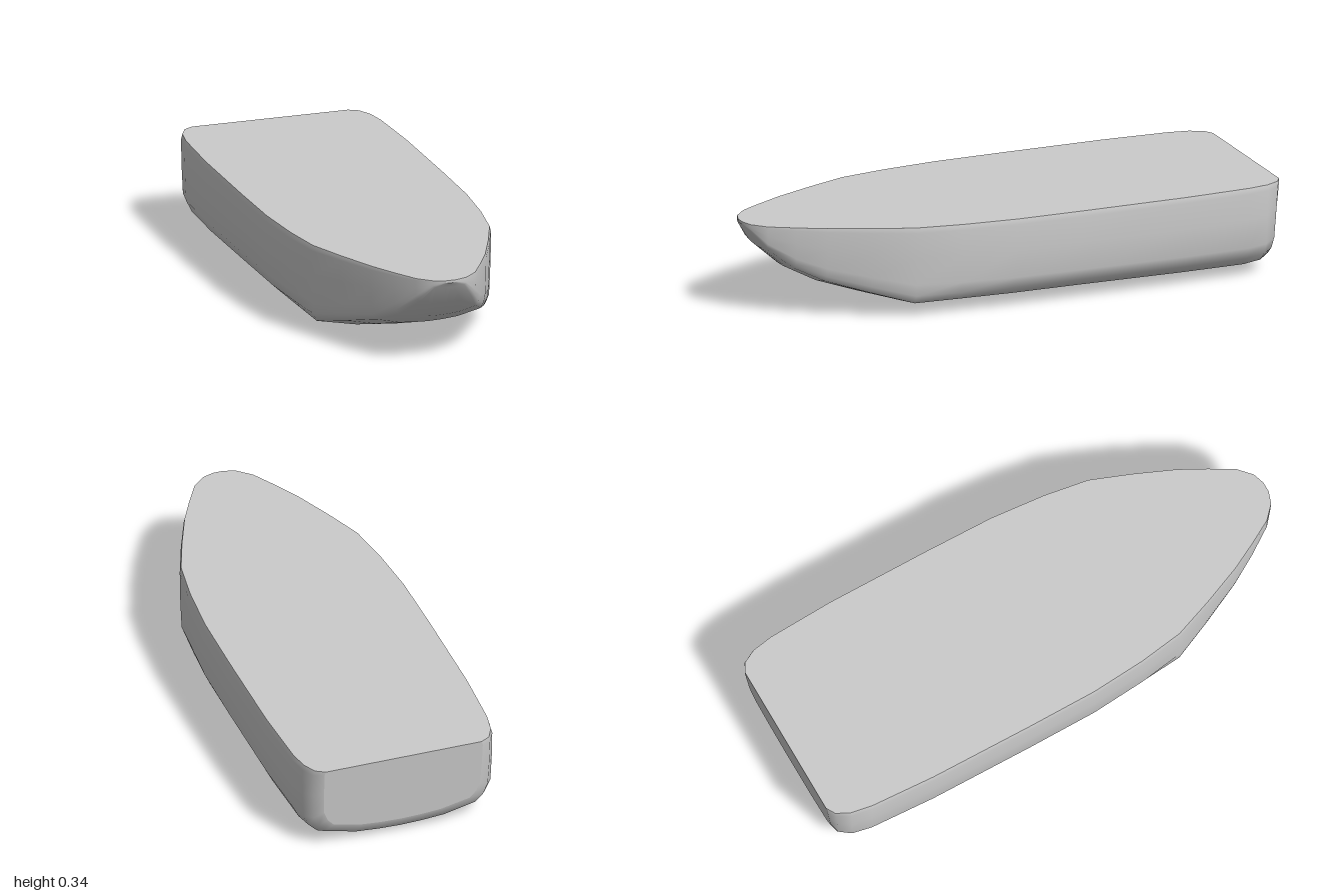
import * as THREE from 'three';

const DECK_Y = 0.345;

// Stations from bow to stern: z, half width, keel height, chine fullness, transom rake
const STATIONS = [
  [1.0, 0.02, 0.335, 0.84, 0],
  [0.985, 0.065, 0.315, 0.85, 0],
  [0.94, 0.115, 0.245, 0.86, 0],
  [0.85, 0.168, 0.165, 0.88, 0],
  [0.75, 0.222, 0.112, 0.9, 0],
  [0.6, 0.287, 0.062, 0.92, 0],
  [0.45, 0.345, 0.015, 0.94, 0],
  [0.28, 0.372, 0.012, 0.88, 0],
  [0.07, 0.39, 0.009, 0.85, 0],
  [-0.2, 0.393, 0.007, 0.84, 0],
  [-0.6, 0.392, 0.003, 0.84, 0],
  [-0.85, 0.38, 0, 0.84, 0],
  [-0.93, 0.366, 0.006, 0.84, 0.008],
  [-0.98, 0.34, 0.025, 0.85, 0.02],
  [-1.0, 0.305, 0.06, 0.86, 0.028],
];

// One hull cross-section, from the left deck edge under the keel to the right
function section([z, w, keel, chine, rake]) {
  const half = [
    [0.985, 1], [1, 0.94], [0.997, 0.65], [0.985, 0.34],
    [(chine + 0.985) / 2 + 0.015, 0.21], [chine, 0.12], [0.5, 0.03], [0.25, 0.008],
  ];
  const place = ([x, t]) =>
    new THREE.Vector3(x * w, keel + t * (DECK_Y - keel), z + rake * (1 - t));
  const mirrored = half.map(([x, t]) => [-x, t]).reverse();
  return [...half, [0, 0], ...mirrored].map(place);
}

function createHull(rings, material) {
  const n = rings[0].length;
  const index = [];
  for (let j = 0; j < rings.length - 1; j++) {
    for (let i = 0; i < n - 1; i++) {
      const a = j * n + i, b = a + 1, c = a + n, d = c + 1;
      index.push(a, b, c, b, d, c);
    }
  }
  const geometry = new THREE.BufferGeometry().setFromPoints(rings.flat());
  geometry.setIndex(index);
  geometry.computeVertexNormals();
  const mesh = new THREE.Mesh(geometry, material);
  mesh.name = 'hull';
  return mesh;
}

// Flat panel from a list of triangle corners
function createPanel(name, corners, material) {
  const geometry = new THREE.BufferGeometry().setFromPoints(corners);
  geometry.computeVertexNormals();
  const mesh = new THREE.Mesh(geometry, material);
  mesh.name = name;
  return mesh;
}

// Fan closing one end of the hull
function endCap(ring, facesFront) {
  const corners = [];
  for (let i = 1; i < ring.length - 1; i++) {
    if (facesFront) corners.push(ring[0], ring[i + 1], ring[i]);
    else corners.push(ring[0], ring[i], ring[i + 1]);
  }
  return corners;
}

export function createModel() {
  const group = new THREE.Group();
  group.name = 'boatHull';
  const material = new THREE.MeshStandardMaterial({ color: 0xcccccc });
  const rings = STATIONS.map(section);

  // Deck strips span between the two gunwales
  const deck = [];
  for (let j = 0; j < rings.length - 1; j++) {
    const l0 = rings[j][0], r0 = rings[j].at(-1);
    const l1 = rings[j + 1][0], r1 = rings[j + 1].at(-1);
    deck.push(l0, l1, r0, l1, r1, r0);
  }

  group.add(
    createHull(rings, material),
    createPanel('deck', deck, material),
    createPanel('stem', endCap(rings[0], true), material),
    createPanel('transom', endCap(rings.at(-1), false), material),
  );
  return group;
}
